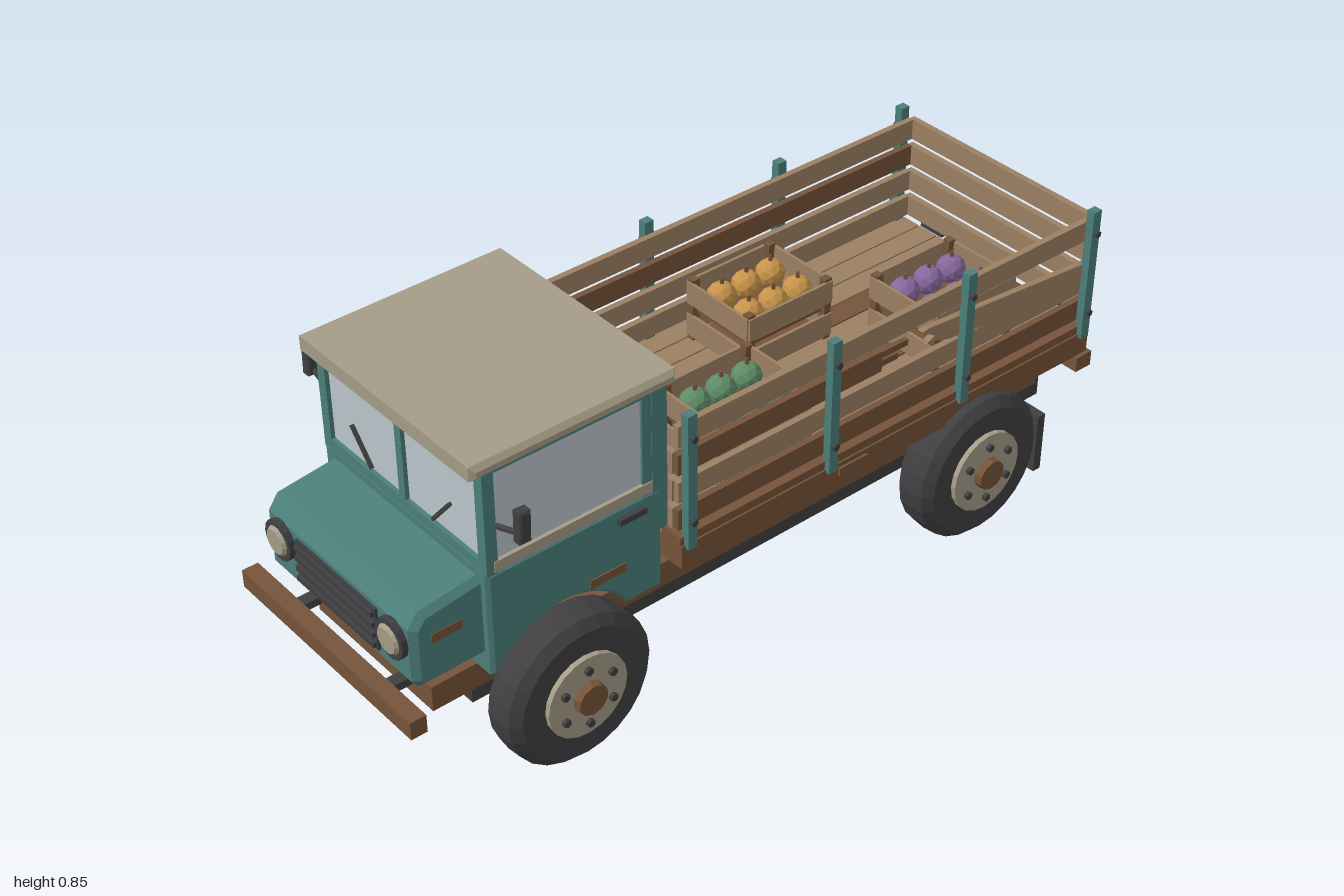
import * as THREE from 'three';

const mat = (name, color) => Object.assign(new THREE.MeshStandardMaterial({ color, flatShading: true }), { name });

export function createModel() {
  const M = {
    teal: mat('tealPaint', 0x4c7f7b), tan: mat('paleWood', 0x9c8163), brown: mat('darkWood', 0x76543a),
    beige: mat('creamPaint', 0xa59d88), dark: mat('darkRubber', 0x404042), glass: mat('windowGlass', 0xbcc6cc),
    red: mat('tailLightRed', 0xd4605f), orange: mat('orangeProduce', 0xc8944a),
    purple: mat('purpleProduce', 0x86689f), green: mat('greenProduce', 0x5f8c68),
  };
  const truck = new THREE.Group();
  truck.name = 'farmTruck';
  const add = (name, geo, m, parent = truck) => {
    const mesh = new THREE.Mesh(geo, m);
    mesh.name = name;
    parent.add(mesh);
    return mesh;
  };
  // Box given by its limits on each axis
  const box = (name, m, x0, x1, y0, y1, z0, z1, parent) => {
    const b = add(name, new THREE.BoxGeometry(x1 - x0, y1 - y0, Math.abs(z1 - z0)), m, parent);
    b.position.set((x0 + x1) / 2, (y0 + y1) / 2, (z0 + z1) / 2);
    return b;
  };
  const cyl = (name, m, r0, r1, h, n, x, y, z, axis, parent) => {
    const c = add(name, new THREE.CylinderGeometry(r0, r1, h, n), m, parent);
    if (axis === 'x') c.rotation.z = Math.PI / 2;
    if (axis === 'z') c.rotation.x = Math.PI / 2;
    c.position.set(x, y, z);
    return c;
  };
  // Side outline extruded across the width, with a small chamfer
  const slab = (name, m, shape, halfWidth, bevel) => {
    const g = new THREE.ExtrudeGeometry(shape, {
      depth: 2 * (halfWidth - bevel), bevelThickness: bevel, bevelSize: bevel, bevelOffset: -bevel, bevelSegments: 1, curveSegments: 14,
    });
    g.translate(0, 0, bevel - halfWidth);
    return add(name, g, m);
  };
  const poly = (pts) => new THREE.Shape(pts.map((p) => new THREE.Vector2(...p)));
  const sides = [1, -1];

  // Chassis
  box('chassisDeck', M.brown, -0.88, 0.91, 0.21, 0.275, -0.21, 0.21);
  for (const s of sides) box('frameRail', M.dark, -0.78, 0.92, 0.172, 0.235, s * 0.165, s * 0.207);
  box('frontBumper', M.brown, -1, -0.96, 0.275, 0.32, -0.31, 0.31);
  box('rearBumper', M.brown, 0.95, 1, 0.27, 0.31, -0.296, 0.296);
  for (const s of sides) {
    box('frontBumperBracket', M.dark, -0.97, -0.86, 0.28, 0.3, s * 0.15, s * 0.18);
    box('rearBumperBracket', M.dark, 0.9, 0.96, 0.275, 0.295, s * 0.15, s * 0.18);
    box('tailLight', M.red, 0.952, 0.972, 0.318, 0.355, s * 0.178, s * 0.25);
    box('mudFlap', M.dark, 0.762, 0.785, 0.097, 0.257, s * 0.227, s * 0.353);
  }
  cyl('exhaustPipe', M.brown, 0.016, 0.016, 0.46, 8, 0.03, 0.16, -0.2, 'x');

  // Wheels and axles
  const tireProfile = [[0.09, -0.05], [0.165, -0.055], [0.187, -0.035], [0.19, 0], [0.187, 0.035], [0.165, 0.055], [0.1, 0.05]];
  const tire = new THREE.LatheGeometry(tireProfile.map((p) => new THREE.Vector2(...p)), 24);
  for (const x of [-0.595, 0.585]) {
    box('axle', M.dark, x - 0.03, x + 0.03, 0.16, 0.212, -0.29, 0.29);
    slab('differential', M.brown, poly([[x - 0.07, 0.185], [x - 0.045, 0.15], [x, 0.135], [x + 0.045, 0.15], [x + 0.07, 0.185], [x + 0.05, 0.215], [x - 0.05, 0.215]]), 0.066, 0.02);
    for (const s of sides) {
      const wheel = new THREE.Group();
      wheel.name = 'wheel';
      wheel.position.set(x, 0.19, s * 0.3);
      wheel.rotation.x = s * Math.PI / 2;
      truck.add(wheel);
      add('tire', tire, M.dark, wheel);
      cyl('innerDisc', M.dark, 0.1, 0.1, 0.02, 20, 0, -0.04, 0, 'y', wheel);
      cyl('rim', M.beige, 0.104, 0.104, 0.03, 20, 0, 0.048, 0, 'y', wheel);
      cyl('hubCap', M.brown, 0.038, 0.042, 0.03, 10, 0, 0.067, 0, 'y', wheel);
      for (let i = 0; i < 6; i++) {
        const a = (i + 0.5) * Math.PI / 3;
        cyl('wheelNut', M.dark, 0.01, 0.01, 0.014, 6, 0.072 * Math.cos(a), 0.066, 0.072 * Math.sin(a), 'y', wheel);
      }
    }
  }

  // Lower cab with wheel arches, and bonnet
  const lower = new THREE.Shape();
  lower.moveTo(-0.78, 0.3);
  lower.lineTo(-0.766, 0.3);
  lower.absarc(-0.595, 0.195, 0.2, Math.PI - 0.553, 0.553, true);
  lower.lineTo(-0.33, 0.3);
  lower.lineTo(-0.33, 0.565);
  lower.lineTo(-0.78, 0.565);
  lower.closePath();
  slab('lowerCab', M.teal, lower, 0.288, 0.008);
  slab('bonnet', M.teal, poly([[-0.76, 0.34], [-0.935, 0.34], [-0.95, 0.36], [-0.95, 0.495], [-0.925, 0.53], [-0.76, 0.55]]), 0.265, 0.015);

  // Grille and headlights
  box('grille', M.dark, -0.956, -0.945, 0.375, 0.485, -0.145, 0.145);
  for (let i = 0; i < 4; i++) box('grilleBar', M.dark, -0.964, -0.95, 0.383 + i * 0.027, 0.395 + i * 0.027, -0.14, 0.14);
  for (const s of sides) {
    cyl('headlightRing', M.dark, 0.048, 0.048, 0.025, 14, -0.952, 0.45, s * 0.202, 'x');
    cyl('headlight', M.beige, 0.03, 0.038, 0.01, 14, -0.967, 0.45, s * 0.202, 'x').rotation.z = Math.PI / 2;
  }

  // Upper cab: back wall, pillars, glass, roof
  box('cabBackWall', M.teal, -0.355, -0.315, 0.455, 0.82, -0.287, 0.287);
  box('windscreen', M.glass, -0.768, -0.762, 0.585, 0.81, -0.265, 0.265);
  box('windscreenPost', M.teal, -0.778, -0.758, 0.565, 0.82, -0.011, 0.011);
  box('windscreenSill', M.teal, -0.778, -0.755, 0.56, 0.59, -0.28, 0.28);
  box('windscreenHeader', M.teal, -0.778, -0.755, 0.8, 0.82, -0.28, 0.28);
  for (const s of sides) {
    box('frontPillar', M.teal, -0.778, -0.75, 0.56, 0.82, s * 0.26, s * 0.287);
    box('rearPillar', M.teal, -0.38, -0.35, 0.56, 0.82, s * 0.26, s * 0.286);
    box('sideWindow', M.glass, -0.752, -0.37, 0.585, 0.812, s * 0.272, s * 0.28);
    box('windowHeader', M.teal, -0.76, -0.35, 0.808, 0.82, s * 0.262, s * 0.286);
    box('windowSill', M.beige, -0.76, -0.355, 0.565, 0.592, s * 0.262, s * 0.289);
    box('doorHandle', M.dark, -0.45, -0.38, 0.527, 0.542, s * 0.286, s * 0.3);
    const wiper = box('wiper', M.dark, -0.782, -0.774, 0.59, 0.69, s * 0.136, s * 0.144);
    wiper.rotation.x = s * 0.7;
    const arm = cyl('mirrorArm', M.dark, 0.007, 0.007, 0.095, 6, -0.745, 0.688, s * 0.322, 'y');
    arm.rotation.x = s * 1.2;
    slab('mirror', M.dark, poly([[-0.76, 0.69], [-0.732, 0.69], [-0.73, 0.765], [-0.758, 0.768]]), 0.014, 0.004).position.z = s * 0.368;
  }
  slab('roof', M.beige, poly([[-0.81, 0.818], [-0.298, 0.818], [-0.298, 0.853], [-0.81, 0.853]]), 0.302, 0.011);

  // Worn patches on the left side
  box('wornPatch', M.brown, -0.905, -0.83, 0.448, 0.47, 0.26, 0.267);
  box('wornPatch', M.brown, -0.525, -0.43, 0.394, 0.416, 0.284, 0.291);
  box('wornPatch', M.brown, 0.15, 0.235, 0.37, 0.39, 0.312, 0.321);

  // Load bed floor
  box('bedBase', M.brown, -0.3, 0.955, 0.342, 0.402, -0.315, 0.315);
  [...'tttbttbttb'].forEach((c, i) => {
    const z = -0.3125 + i * 0.0625;
    box('floorPlank', c === 't' ? M.tan : M.brown, -0.3, 0.95, 0.4, 0.423, z + 0.002, z + 0.0605);
  });

  // Stake sides, with one board snapped on the left
  const rows = [0.44, 0.513, 0.585, 0.657];
  const bh = 0.053;
  for (const s of sides) {
    for (const x of [-0.278, 0.125, 0.53, 0.932]) {
      box('stakePost', M.teal, x - 0.0125, x + 0.0125, 0.395, 0.742, s * 0.303, s * 0.325);
      for (const y of [rows[0], rows[3]]) cyl('stakeBolt', M.dark, 0.009, 0.009, 0.012, 6, x, y + 0.027, s * 0.328, 'z');
    }
    rows.forEach((y, i) => {
      const m = s > 0 && i % 2 === 0 || s < 0 && i === 2 ? M.brown : M.tan;
      const end = s > 0 && i === 2 ? 0.28 : 0.945;
      box('sideBoard', m, -0.3, end, y, y + bh, s * 0.288, s * 0.304);
    });
  }
  for (const [x, w, y] of [[0.3, 0.06, 0.595], [0.29, 0.1, 0.618]]) box('snappedEnd', M.brown, x - 0.03, x - 0.03 + w, y, y + 0.016, 0.29, 0.302);
  slab('fallenBoard', M.tan, poly([[0.4, 0.634], [0.44, 0.608], [0.42, 0.6], [0.49, 0.578], [0.95, 0.525], [0.95, 0.592], [0.42, 0.637]]), 0.008, 0.001).position.z = 0.297;

  // Headboard and tailgate
  for (const y of rows) {
    if (y < 0.65) box('headBoard', M.tan, -0.305, -0.29, y, y + bh, -0.29, 0.29);
    box('tailgateBoard', M.tan, 0.944, 0.96, y, y + bh, -0.299, 0.299);
  }
  for (const s of sides) box('tailgateHinge', M.dark, 0.955, 0.968, 0.42, 0.45, s * 0.177, s * 0.25);

  // Slatted crates of produce
  const fruit = new THREE.IcosahedronGeometry(0.036, 1);
  const crate = (cx, cz, m) => {
    const g = new THREE.Group();
    g.name = 'produceCrate';
    g.position.set(cx, 0.423, cz);
    truck.add(g);
    box('crateBottom', M.brown, -0.12, 0.12, 0, 0.012, -0.1, 0.1, g);
    box('crateShelf', M.brown, -0.115, 0.115, 0.075, 0.083, -0.095, 0.095, g);
    for (const a of sides) {
      for (const b of sides) box('cratePost', M.brown, a * 0.117 - 0.01, a * 0.117 + 0.01, 0, 0.165, b * 0.087, b * 0.107, g);
      for (const y of [0.012, 0.1]) {
        box('crateSlat', M.tan, -0.127, 0.127, y, y + 0.058, a * 0.103, a * 0.111, g);
        box('crateEndSlat', M.tan, a * 0.127 - 0.004, a * 0.127 + 0.004, y, y + 0.058, -0.105, 0.105, g);
      }
    }
    for (const x of [-0.075, 0, 0.075]) for (const z of [-0.047, 0.047]) {
      add('produce', fruit, m, g).position.set(x, 0.125, z);
      cyl('stem', M.brown, 0.004, 0.006, 0.016, 5, x, 0.165, z, 'y', g);
    }
  };
  crate(0.003, 0.135, M.green);
  crate(0.32, -0.143, M.orange);
  crate(0.655, 0.117, M.purple);

  return truck;
}
